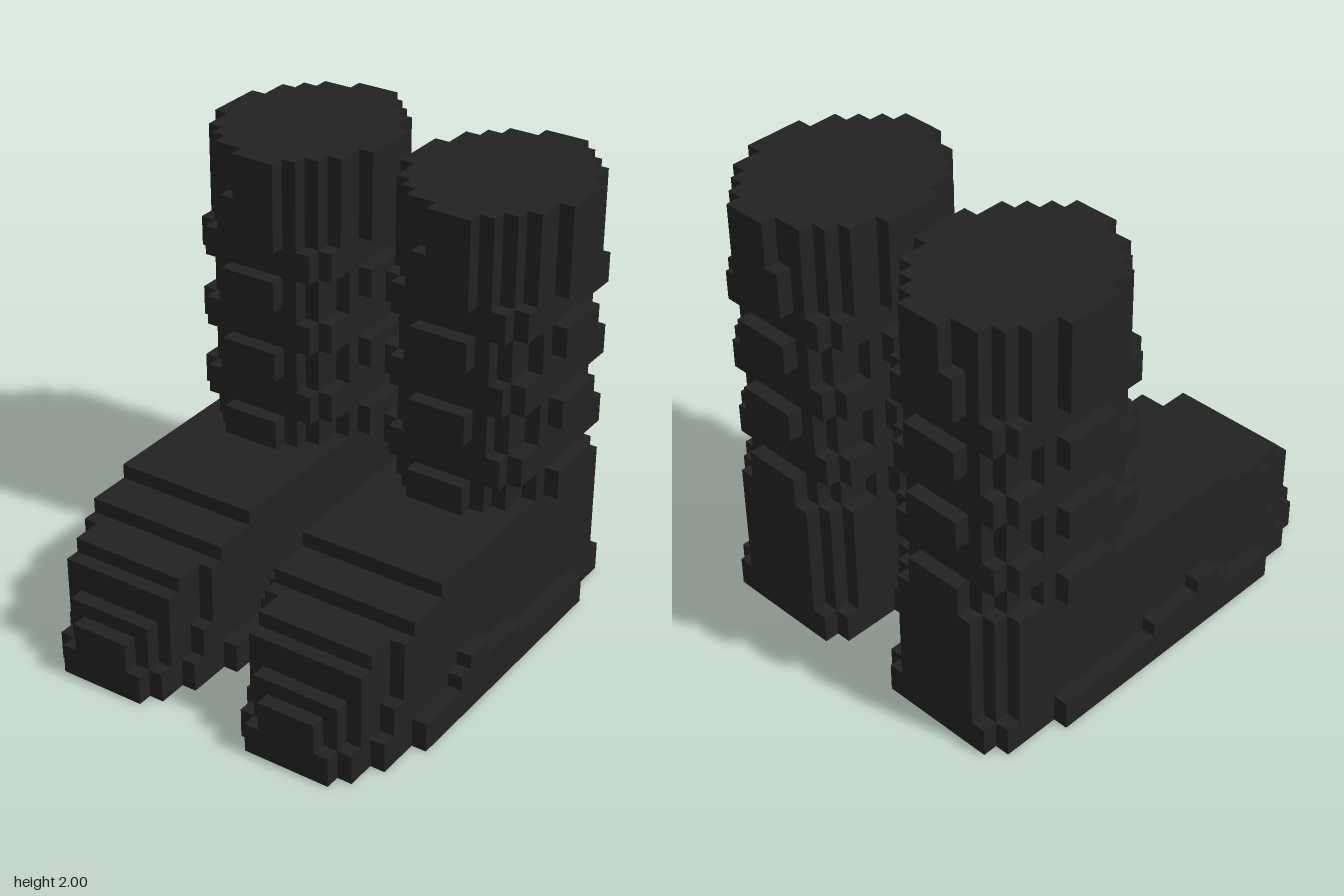
import * as THREE from 'three';

const U = 1 / 15; // size of one block

const leather = new THREE.MeshStandardMaterial({ color: 0x222222 });
leather.name = 'black leather';

// Extrudes a stepped plan upward; each row is [z0, z1, xMin, xMax] in blocks.
function slab(name, y0, y1, rows) {
  const pts = [];
  for (const [z0, z1, , x1] of rows) pts.push([x1, z0], [x1, z1]);
  for (const [z0, z1, x0] of [...rows].reverse()) pts.push([x0, z1], [x0, z0]);
  const shape = new THREE.Shape(pts.map(([x, z]) => new THREE.Vector2(x * U, -z * U)));
  const geo = new THREE.ExtrudeGeometry(shape, { depth: (y1 - y0) * U, bevelEnabled: false });
  geo.rotateX(-Math.PI / 2);
  geo.translate(0, y0 * U, 0);
  const mesh = new THREE.Mesh(geo, leather);
  mesh.name = name;
  return mesh;
}

// Rows symmetric in x: [z0, z1, halfWidth]
const sym = rows => rows.map(([a, b, w]) => [a, b, -w, w]);

// Mirrors front rows about the shaft axis, z = -8, around a middle row
function ring(middle, front) {
  const back = front.map(([a, b, l, r]) => [-16 - b, -16 - a, l, r]).reverse();
  return [...back, middle, ...front];
}

function makeBoot() {
  const boot = new THREE.Group();
  const add = (...a) => boot.add(slab(...a));

  // Sole and welt
  add('sole', 0, 2, sym([[-15, -14, 4], [-14, -10, 5], [-10, 9, 6], [9, 12, 5], [12, 14, 4], [14, 15, 3]]));
  add('lowerWelt', 2, 3, sym([[-15, -14, 3], [-14, -13, 4], [-13, -2, 5], [-2, 5, 6], [5, 11, 5], [11, 13, 4], [13, 14, 3], [14, 15, 2]]));
  add('upperWelt', 3, 4, sym([[-15, -14, 3], [-14, -13, 4], [-13, 2, 5], [2, 4, 6], [4, 11, 5], [11, 13, 4], [13, 14, 3], [14, 15, 2]]));

  // Foot, stepping back towards the instep
  const heel = [[-15, -14, 3], [-14, -13, 4]];
  add('toeCap', 4, 5, sym([...heel, [-13, 10, 5], [10, 13, 4], [13, 14, 3]]));
  add('toeBox', 5, 7, sym([...heel, [-13, 10, 5], [10, 13, 4]]));
  add('toeTop', 7, 8, sym([...heel, [-13, 10, 5], [10, 12, 4]]));
  add('vamp', 8, 9, sym([...heel, [-13, 9, 5]]));
  add('instep', 9, 10, sym([...heel, [-13, 6, 5]]));

  // Shaft: raised bands alternating with narrower gaps
  const band = ring([-10, -6, -6, 6], sym([[-6, -5, 5], [-5, -3, 4], [-3, -2, 3], [-2, -1, 2]]));
  const studs = ring([-11, -5, -5, 5], sym([[-5, -3, 5], [-3, -2, 4]]));
  const gap = ring([-11, -5, -5, 5], sym([[-5, -3, 4], [-3, -2, 3]]));
  for (const y of [10, 15, 20]) add('shaftBand', y, y + 2, band);
  for (const y of [12, 17]) {
    add('cornerStuds', y, y + 2, studs);
    add('shaftGap', y + 2, y + 3, gap);
  }
  add('cornerStuds', 22, 24, studs);

  // Cuff
  const cuff = [[-6, -4, -5, 5], [-4, -3, -4, 4], [-3, -2, -3, 3]];
  add('lowerCuff', 24, 27, ring([-10, -6, -6, 6], [...cuff, [-2, -1, -2, 2]]));
  add('upperCuff', 27, 30, ring([-10, -6, -6, 6], [...cuff, [-2, -1, -1, 2]]));
  return boot;
}

export function createModel() {
  const model = new THREE.Group();
  model.name = 'boots';
  for (const [name, x] of [['leftBoot', 7], ['rightBoot', -7]]) {
    const boot = makeBoot();
    boot.name = name;
    boot.position.x = x * U;
    model.add(boot);
  }
  return model;
}
